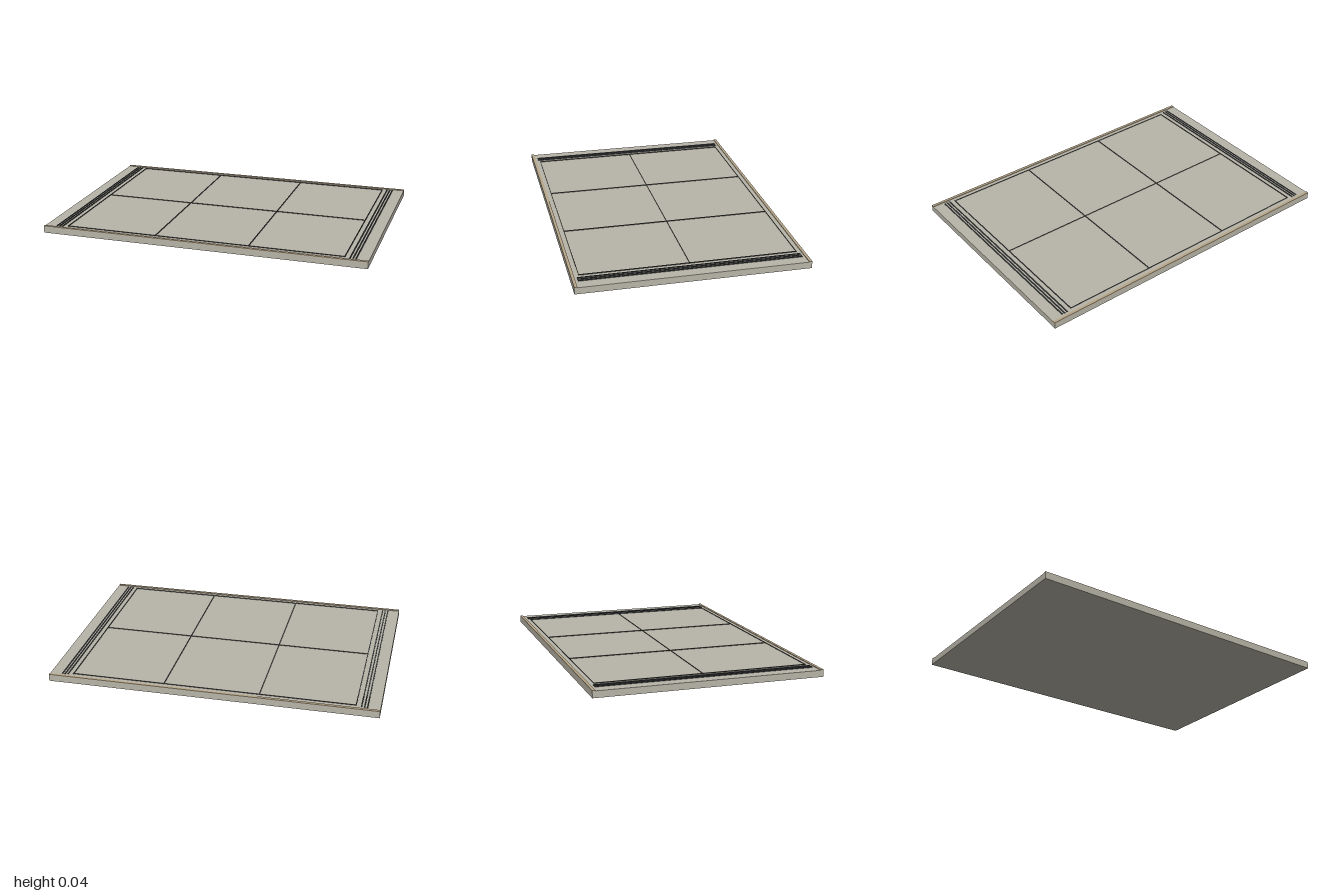
import * as THREE from 'three';

const BASE = 0.04, TOP = 0.044;

export function createModel() {
  const group = new THREE.Group();
  const stone = new THREE.MeshStandardMaterial({ color: 0xb8b5a8 });
  const dark = new THREE.MeshStandardMaterial({ color: 0x3c3e40 });
  const tan = new THREE.MeshStandardMaterial({ color: 0xb8a68a });

  // Box from its footprint and bottom and top heights
  function block(name, material, w, d, x, z, y0, y1) {
    const mesh = new THREE.Mesh(new THREE.BoxGeometry(w, y1 - y0, d), material);
    mesh.position.set(x, (y0 + y1) / 2, z);
    mesh.name = name;
    group.add(mesh);
  }
  const strip = (name, material, w, d, x, z) => block(name, material, w, d, x, z, BASE - 0.002, TOP);

  block('slab', stone, 2, 1.375, 0, 0, 0, BASE);

  for (const s of [-1, 1]) {
    // Edge trim along the front and back
    strip('edgeTrim', tan, 2, 0.018, 0, s * 0.6785);

    // Three close rails near each end
    for (const x of [0.89, 0.908, 0.925]) strip('endRail', dark, 0.007, 1.308, s * x, 0);

    // Panel border and cross joints
    strip('borderJoint', dark, 0.005, 1.284, s * 0.858, 0);
    strip('crossJoint', dark, 0.005, 1.284, s * 0.29, 0);
    strip('sideJoint', dark, 1.716, 0.002, 0, s * 0.641);
  }

  // Joint along the middle
  strip('middleJoint', dark, 1.716, 0.002, 0, 0);

  return group;
}
